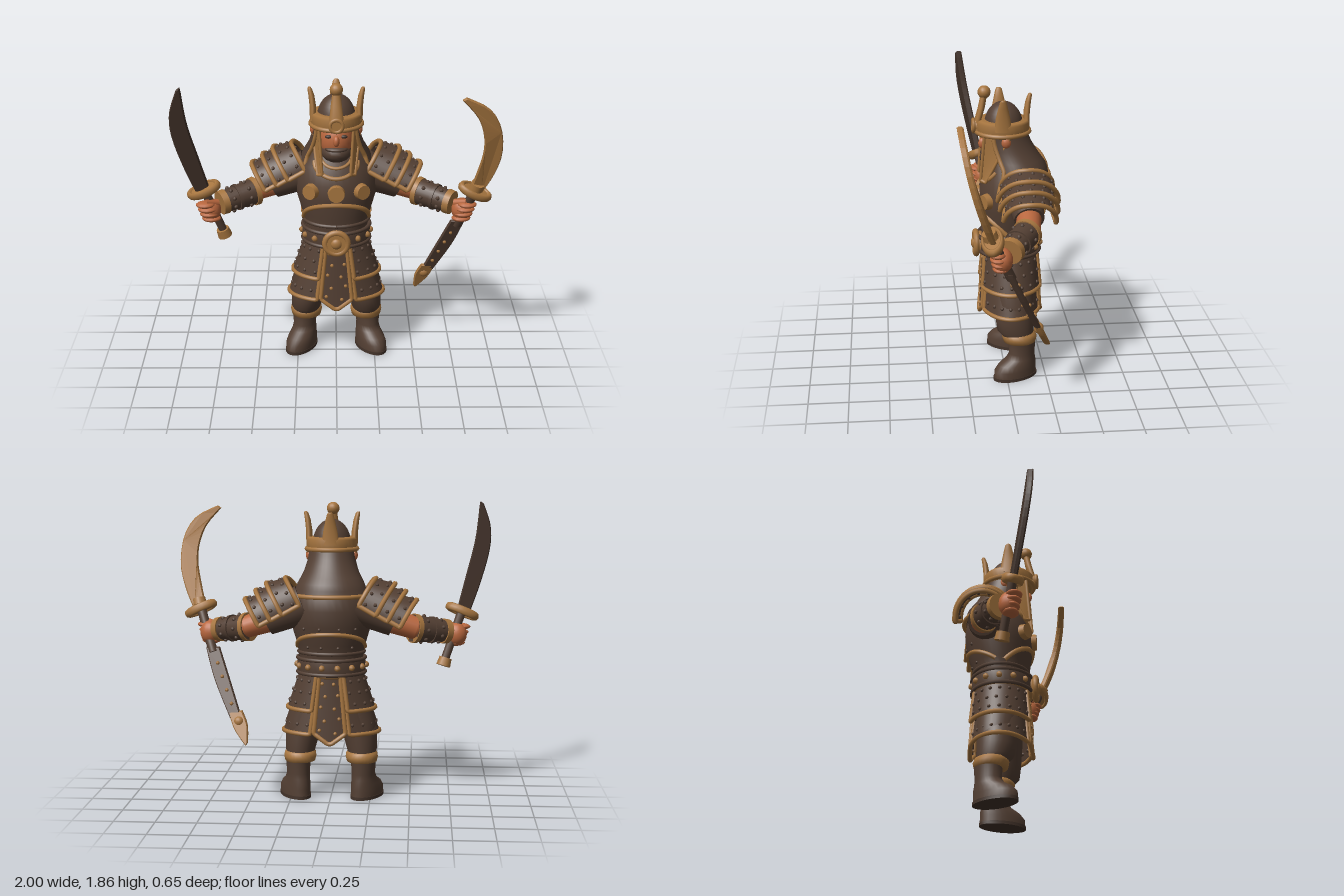
import * as THREE from 'three';
import { mergeGeometries } from 'three/addons/utils/BufferGeometryUtils.js';

const V = (x, y, z) => new THREE.Vector3(x, y, z);
const lerp = THREE.MathUtils.lerp;
const mat = (name, color, side = THREE.FrontSide) => new THREE.MeshStandardMaterial({ name, color, side });

// Triangulated grid from rows of points; optionally wrapped round and capped
function gridGeo(rows, wrap) {
  const n = rows[0].length, pos = [], idx = [];
  rows.forEach(r => r.forEach(p => pos.push(p.x, p.y, p.z)));
  for (let j = 0; j < rows.length - 1; j++) for (let i = 0; i < (wrap ? n : n - 1); i++) {
    const a = j * n + i, b = j * n + (i + 1) % n;
    idx.push(a, b, a + n, b, b + n, a + n);
  }
  if (wrap) [[0, true], [rows.length - 1, false]].forEach(([j, low]) => {
    const base = pos.length / 3, c = V(0, 0, 0);
    rows[j].forEach(p => { pos.push(p.x, p.y, p.z); c.addScaledVector(p, 1 / n); });
    pos.push(c.x, c.y, c.z);
    for (let i = 0; i < n; i++) {
      const a = base + i, b = base + (i + 1) % n;
      low ? idx.push(base + n, b, a) : idx.push(base + n, a, b);
    }
  });
  const g = new THREE.BufferGeometry();
  g.setAttribute('position', new THREE.Float32BufferAttribute(pos, 3));
  g.setIndex(idx);
  g.computeVertexNormals();
  return g;
}

// Sections: [y, rx, rz, cz, cx]; angle 0 is the front
const ringPt = ([y, rx, rz, cz = 0, cx = 0], t) => V(cx + rx * Math.sin(t), y, cz + rz * Math.cos(t));
const loft = (secs, n = 28) => gridGeo(secs.map(s => Array.from({ length: n }, (_, i) => ringPt(s, i / n * Math.PI * 2))), true);
function sectionAt(secs, y) {
  let k = 0;
  while (k < secs.length - 2 && secs[k + 1][0] < y) k++;
  const f = (y - secs[k][0]) / (secs[k + 1][0] - secs[k][0]);
  return secs[k].map((v, i) => lerp(v, secs[k + 1][i], f));
}

const ball = (p, rx, ry = rx, rz = rx, n = 16) => new THREE.SphereGeometry(1, n, Math.ceil(n * 0.7)).scale(rx, ry, rz).translate(p.x, p.y, p.z);
const studs = (pts, r = 0.012) => mergeGeometries(pts.map(p => ball(p, r, r, r, 7)));
const tube = (pts, r, closed = false) => new THREE.TubeGeometry(new THREE.CatmullRomCurve3(pts, closed), pts.length * 3, r, 7, closed);
function limb(a, b, r0, r1, n = 20) {
  const d = b.clone().sub(a), q = new THREE.Quaternion().setFromUnitVectors(V(0, 1, 0), d.clone().normalize());
  const m = a.clone().add(b).multiplyScalar(0.5);
  return new THREE.CylinderGeometry(r1, r0, d.length(), n).applyQuaternion(q).translate(m.x, m.y, m.z);
}
const disc = (x, y, z, r, h) => new THREE.CylinderGeometry(r * 0.9, r, h, 24).rotateX(Math.PI / 2).translate(x, y, z);

function flip(geo) {
  const g = geo.clone().scale(-1, 1, 1);
  const idx = g.index ? Array.from(g.index.array) : Array.from({ length: g.attributes.position.count }, (_, i) => i);
  for (let i = 0; i < idx.length; i += 3) [idx[i], idx[i + 1]] = [idx[i + 1], idx[i]];
  g.setIndex(idx);
  return g;
}

export function createModel() {
  const root = new THREE.Group();
  root.name = 'warrior';
  const leather = mat('dark leather', 0x533f33, THREE.DoubleSide);
  const bronze = mat('bronze', 0xa6753f, THREE.DoubleSide);
  const skin = mat('skin', 0xb9673e);
  const steel = mat('dark blade', 0x43332a);

  const add = (name, geo, m) => {
    const mesh = new THREE.Mesh(geo, m);
    mesh.name = name;
    root.add(mesh);
  };
  const pair = (name, geo, m) => { add(name + 'Left', geo, m); add(name + 'Right', flip(geo), m); };

  // Thin curved plate with a raised border and studs
  function plate(put, name, fn, { face = leather, rim = 0.014, stud = leather, cols = 3, rows = 3, nu = 16, nv = 6 } = {}) {
    const grid = Array.from({ length: nv + 1 }, (_, j) => Array.from({ length: nu + 1 }, (_, i) => fn(i / nu, j / nv)));
    put(name, gridGeo(grid, false), face);
    const edge = [], k = 10;
    for (let s = 0; s < 4; s++) for (let i = 0; i < k; i++) {
      const t = lerp(0.02, 0.98, i / (k - 1));
      edge.push(s === 0 ? fn(t, 0) : s === 1 ? fn(1, t) : s === 2 ? fn(1 - t, 1) : fn(0, 1 - t));
    }
    put(name + 'Border', tube(edge, rim, true), bronze);
    const pts = [];
    for (let j = 0; j < rows; j++) for (let i = 0; i < cols; i++) pts.push(fn((i + 0.5 + (j % 2 ? 0.15 : -0.15)) / cols, (j + 0.6) / (rows + 0.2)));
    if (pts.length) put(name + 'Studs', studs(pts), stud);
  }

  // Torso with trim following its surface
  const torso = [[0.72, 0.19, 0.15, -0.035], [0.9, 0.2, 0.17, -0.04], [0.98, 0.215, 0.185, -0.045], [1.1, 0.25, 0.212, -0.055],
    [1.2, 0.255, 0.215, -0.06], [1.3, 0.235, 0.19, -0.07], [1.37, 0.17, 0.145, -0.06], [1.42, 0.1, 0.1, -0.03]];
  const torsoPt = (t, y, out = 0) => { const s = sectionAt(torso, y); return ringPt([y, s[1] + out, s[2] + out, s[3]], t); };
  const trim = (mid, span, f, r) => tube(Array.from({ length: 17 }, (_, i) => { const k = i / 8 - 1; return torsoPt(mid + k * span, f(k)); }), r);
  add('torso', loft(torso, 36), leather);
  add('chestLowerTrim', trim(0, 1.35, k => 1.08 - 0.13 * k * k, 0.016), bronze);
  add('backLowerTrim', trim(Math.PI, 1.5, k => 1.06 - 0.1 * k * k, 0.014), bronze);
  add('collarTrim', trim(0, 0.75, k => 1.25 + 0.09 * k * k, 0.014), bronze);
  add('neckTrim', trim(0, 0.6, k => 1.31 + 0.06 * k * k, 0.011), bronze);
  add('waistTrim', trim(Math.PI, Math.PI, () => 0.93, 0.012), leather);
  add('backStuds', studs([-0.7, -0.25, 0.25, 0.7].flatMap(t => [1.0, 1.12].map(y => torsoPt(Math.PI + t, y - 0.03))), 0.01), leather);
  add('chestDisc', disc(0, 1.16, 0.158, 0.056, 0.05), bronze);
  pair('sideChestDisc', new THREE.CylinderGeometry(0.046, 0.054, 0.06, 24).rotateX(Math.PI / 2).rotateY(0.55).translate(0.155, 1.16, 0.115), bronze);

  // Belt and buckle
  const belt = [0.8, 0.81, 0.88, 0.89].map((y, i) => [y, i % 3 ? 0.215 : 0.205, i % 3 ? 0.195 : 0.185, -0.035]);
  add('belt', loft(belt, 36), leather);
  [0.8, 0.89].forEach(y => add('beltEdge', tube(Array.from({ length: 24 }, (_, i) => ringPt([y, 0.213, 0.193, -0.035], i / 12 * Math.PI)), 0.012, true), leather));
  add('beltStuds', studs(Array.from({ length: 14 }, (_, i) => ringPt([0.845, 0.217, 0.197, -0.035], (i + 0.5) / 7 * Math.PI)), 0.02), bronze);
  add('buckle', disc(0, 0.835, 0.165, 0.075, 0.05), bronze);
  add('buckleRim', new THREE.TorusGeometry(0.07, 0.02, 8, 28).translate(0, 0.835, 0.175), bronze);
  add('buckleBoss', ball(V(0, 0.835, 0.185), 0.035, 0.035, 0.022), bronze);

  // Armoured skirt: front and back tabards, two tiers at each side
  const skirtPt = (t, y, out) => {
    const f = (0.8 - y) / 0.38;
    return ringPt([y, lerp(0.19, 0.3, f) + out, lerp(0.165, 0.185, f) + out, -0.04], t);
  };
  [['frontTabard', 0], ['backTabard', Math.PI]].forEach(([name, mid]) => plate(add, name, (u, v) => {
    const k = 2 * u - 1;
    return skirtPt(mid + k * 0.33, lerp(0.79, 0.365 + 0.07 * Math.abs(k), v), 0.008);
  }, { stud: bronze, cols: 2, rows: 5 }));
  const tier = (y0, y1, out) => (u, v) => skirtPt(lerp(0.42, Math.PI - 0.42, u), lerp(y0, y1, v), out + 0.01 * v);
  plate(pair, 'lowerTasset', tier(0.64, 0.425, -0.005), { cols: 8, rows: 2, nu: 24 });
  plate(pair, 'upperTasset', tier(0.8, 0.575, 0.012), { cols: 7, rows: 3, nu: 24 });

  // Legs and boots
  pair('trouserLeg', loft([[0.26, 0.08, 0.09, -0.08, 0.195], [0.31, 0.095, 0.115, -0.06, 0.195], [0.38, 0.105, 0.12, -0.055, 0.185],
    [0.5, 0.12, 0.125, -0.05, 0.165], [0.65, 0.115, 0.13, -0.045, 0.12], [0.8, 0.09, 0.13, -0.04, 0.1]]), leather);
  pair('bootCuff', loft([[0.225, 0.07, 0.08, -0.085, 0.195], [0.235, 0.095, 0.103, -0.085, 0.195], [0.265, 0.102, 0.11, -0.085, 0.195],
    [0.29, 0.098, 0.105, -0.08, 0.195], [0.305, 0.075, 0.08, -0.08, 0.195]]), bronze);
  const placeFoot = g => g.rotateY(0.45).translate(0.228, 0, -0.055);
  pair('boot', placeFoot(loft([[0.015, 0.085, 0.148, 0], [0.06, 0.086, 0.146, 0], [0.095, 0.08, 0.13, -0.015], [0.125, 0.074, 0.098, -0.04],
    [0.16, 0.07, 0.085, -0.05], [0.24, 0.076, 0.09, -0.05]])), leather);
  pair('bootSole', placeFoot(loft([[0, 0.088, 0.152], [0.02, 0.088, 0.152]])), steel);

  // Arms: short sleeve, bare elbow, bracer
  pair('sleeve', limb(V(0.17, 1.23, -0.11), V(0.4, 1.125, -0.12), 0.125, 0.092), leather);
  pair('upperArm', limb(V(0.36, 1.14, -0.12), V(0.53, 1.085, -0.105), 0.078, 0.07), skin);
  pair('elbow', ball(V(0.52, 1.09, -0.105), 0.07), skin);
  const elbow = V(0.51, 1.085, -0.1), wrist = V(0.725, 1.05, 0.025);
  const along = f => elbow.clone().lerp(wrist, f);
  pair('bracer', limb(elbow, wrist, 0.085, 0.068), leather);
  pair('bracerElbowBand', limb(along(0.0), along(0.12), 0.092, 0.09), bronze);
  pair('bracerMidBand', limb(along(0.5), along(0.58), 0.085, 0.084), leather);
  pair('bracerWristBand', limb(along(0.86), along(1.02), 0.079, 0.076), bronze);
  const fore = wrist.clone().sub(elbow).normalize(), side = V(0, 1, 0).cross(fore).normalize(), over = fore.clone().cross(side);
  pair('bracerStuds', studs([0.28, 0.72].flatMap((f, j) => Array.from({ length: 8 }, (_, i) => {
    const a = (i + j / 2) / 4 * Math.PI, r = lerp(0.086, 0.069, f);
    return along(f).addScaledVector(side, r * Math.cos(a)).addScaledVector(over, r * Math.sin(a));
  })), 0.013), leather);

  // Fists closed round the grips
  const grip = V(0.31, 0.92, 0.22).normalize(), palm = V(0.785, 1.025, 0.075);
  pair('palm', ball(palm, 0.066, 0.075, 0.06), skin);
  for (let i = 0; i < 4; i++) {
    const c = palm.clone().addScaledVector(grip, (i - 1.5) * 0.036).add(V(0.012, -0.004, 0.022));
    pair('finger', ball(c, 0.06, 0.021, 0.05, 12), skin);
  }
  pair('thumb', limb(V(0.74, 1.07, 0.075), V(0.81, 1.09, 0.12), 0.024, 0.02, 10), skin);

  // Shoulder guards: three overlapping tiers arched over the upper arm
  const axis = V(0.887, -0.461, 0.02), up = V(0.461, 0.887, 0);
  [[0.0, 0.12, 0.17, 0.195], [0.09, 0.2, 0.165, 0.185], [0.17, 0.285, 0.15, 0.168]].forEach(([s0, s1, r0, r1], i) =>
    plate(pair, 'shoulderTier' + (i + 1), (u, v) => {
      const a = lerp(-1.65, 1.5, u), r = lerp(r0, r1, v);
      return V(0.205, 1.245, -0.125).addScaledVector(axis, lerp(s0, s1, v) - 0.02 * Math.abs(Math.sin(a)))
        .addScaledVector(up, r * Math.cos(a)).add(V(0, 0, r * 0.95 * Math.sin(a)));
    }, { rim: 0.015, cols: 7, rows: 2, nu: 24 }));

  // Head
  add('face', ball(V(0, 1.48, 0.01), 0.108, 0.14, 0.122, 24), skin);
  add('nose', ball(V(0, 1.49, 0.13), 0.02, 0.035, 0.026), skin);
  add('beard', ball(V(0, 1.4, 0.03), 0.098, 0.07, 0.118, 20), leather);
  add('moustache', ball(V(0, 1.432, 0.1), 0.07, 0.02, 0.045), leather);
  pair('eye', ball(V(0.045, 1.515, 0.113), 0.024, 0.012, 0.012, 10), steel);
  pair('ear', ball(V(0.143, 1.53, -0.005), 0.02, 0.035, 0.03, 12), skin);

  // Neck guard hanging from the helmet, open at the front
  const guard = [[1.29, 0.235, 0.195, -0.088], [1.36, 0.21, 0.18, -0.085], [1.43, 0.172, 0.165, -0.05], [1.5, 0.15, 0.152, -0.02], [1.58, 0.138, 0.14, 0]];
  plate(add, 'neckGuard', (u, v) => ringPt(sectionAt(guard, lerp(1.29, 1.58, v)), lerp(1.0, 2 * Math.PI - 1.0, u)), { cols: 0, rows: 0, nu: 30, nv: 8 });

  // Helmet dome, band, cheek guards
  add('helmetDome', ball(V(0, 1.6, 0), 0.12, 0.155, 0.12, 28), leather);
  add('helmetBand', loft([[1.555, 0.14, 0.145, 0.005], [1.565, 0.158, 0.165, 0.005], [1.63, 0.16, 0.166, 0.005], [1.645, 0.15, 0.155, 0.005], [1.645, 0.118, 0.12, 0]], 36), bronze);
  add('bandLowerRim', tube(Array.from({ length: 24 }, (_, i) => ringPt([1.57, 0.158, 0.164, 0.005], i / 12 * Math.PI)), 0.014, true), bronze);
  add('browDisc', disc(0, 1.605, 0.175, 0.045, 0.03), bronze);
  add('browRing', new THREE.TorusGeometry(0.038, 0.012, 8, 20).translate(0, 1.605, 0.185), bronze);
  plate(pair, 'cheekGuard', (u, v) => V(lerp(0.15, 0.115, v), lerp(1.57, 1.27, v), lerp(-0.03, 0.12, v))
    .lerp(V(lerp(0.105, 0.088, v), lerp(1.57, 1.28, v), lerp(0.125, 0.148, v)), u), { face: bronze, rim: 0.01, cols: 0, rows: 0, nu: 4 });

  // Crest with ball, and three upright horns
  add('crest', loft([[1.57, 0.045, 0.018, 0.168], [1.65, 0.042, 0.022, 0.155], [1.72, 0.034, 0.022, 0.135], [1.8, 0.024, 0.02, 0.12]], 12), bronze);
  add('crestBall', ball(V(0, 1.815, 0.118), 0.04), bronze);
  const horn = () => loft([[1.6, 0.055, 0.02, 0.142], [1.68, 0.045, 0.02, 0.143], [1.75, 0.03, 0.018, 0.152], [1.79, 0.02, 0.014, 0.162], [1.8, 0.012, 0.008, 0.164]], 12);
  pair('sideHorn', horn().rotateY(Math.PI / 2).translate(0, 0, 0.015), bronze);
  add('backHorn', horn().rotateY(Math.PI), bronze);

  // Weapons: outlines extruded, then leaned through the hands by a depth rule
  function blade(name, pts, n, m, depth) {
    const spline = list => new THREE.SplineCurve(list.map(p => new THREE.Vector2(...p))).getPoints(14);
    const shape = new THREE.Shape([...spline(pts.slice(0, n)), ...spline(pts.slice(n))]);
    const g = new THREE.ExtrudeGeometry(shape, { depth: 0.018, bevelEnabled: true, bevelThickness: 0.01, bevelSize: 0.006, bevelSegments: 1 });
    const p = g.attributes.position;
    for (let i = 0; i < p.count; i++) p.setZ(i, p.getZ(i) - 0.009 + depth(p.getX(i), p.getY(i)));
    g.computeVertexNormals();
    add(name, g, m);
  }
  const rightZ = (x, y) => 0.08 + 0.3 * (-0.8 - x) + 0.12 * (y - 1.03);
  const leftZ = (x, y) => { const d = y - 1.03; return 0.08 + 0.45 * d - (d > 0 ? 0.2 * d * d : 0); };
  const at = (x, y, f) => V(x, y, f(x, y));

  blade('sabreBlade', [[-0.79, 1.17], [-0.85, 1.4], [-0.905, 1.62], [-0.932, 1.85],
    [-0.945, 1.84], [-0.99, 1.7], [-0.985, 1.55], [-0.93, 1.35], [-0.865, 1.17]], 4, steel, rightZ);
  add('sabreGrip', limb(at(-0.71, 0.86, rightZ), at(-0.815, 1.16, rightZ), 0.026, 0.028, 12), leather);
  add('sabrePommel', limb(at(-0.703, 0.83, rightZ), at(-0.718, 0.88, rightZ), 0.046, 0.04, 14), bronze);

  blade('hookedBlade', [[0.895, 1.17], [0.955, 1.3], [0.992, 1.45], [0.975, 1.62], [0.9, 1.745], [0.765, 1.815],
    [0.75, 1.805], [0.84, 1.7], [0.885, 1.58], [0.892, 1.46], [0.865, 1.32], [0.825, 1.17]], 6, bronze, leftZ);
  add('bladeCollar', limb(at(0.862, 1.19, leftZ), at(0.872, 1.23, leftZ), 0.045, 0.042, 14), bronze);
  add('hookedGrip', limb(at(0.76, 0.9, leftZ), at(0.85, 1.16, leftZ), 0.03, 0.03, 12), leather);
  blade('lowerBlade', [[0.8, 0.93], [0.735, 0.74], [0.628, 0.52], [0.56, 0.5], [0.64, 0.71], [0.725, 0.93]], 3, leather, leftZ);
  blade('lowerBladeTip', [[0.635, 0.545], [0.595, 0.45], [0.525, 0.36], [0.518, 0.37], [0.525, 0.47], [0.56, 0.55]], 3, bronze, leftZ);
  add('tipBoss', ball(at(0.575, 0.49, leftZ), 0.035, 0.035, 0.03), bronze);
  add('lowerBladeStuds', studs([0.6, 0.68, 0.76, 0.84].flatMap(y => [-0.02, 0.02].map(o => at(0.625 + (y - 0.6) * 0.42, y, leftZ).add(V(0, 0, o)))), 0.012), bronze);

  // Oval hand guards set square to each grip
  const guardGeo = () => mergeGeometries([new THREE.CylinderGeometry(1, 1, 0.03, 24), new THREE.TorusGeometry(0.92, 0.2, 8, 24).rotateX(Math.PI / 2).scale(1, 0.13, 1)])
    .scale(0.1, 1, 0.06);
  [['sabreGuard', -0.82, rightZ, 0.39], ['hookedGuard', 0.855, leftZ, -0.42]].forEach(([name, x, f, tilt]) => {
    const c = at(x, 1.168, f);
    add(name, guardGeo().rotateX(0.25).rotateZ(tilt).translate(c.x, c.y, c.z), bronze);
  });

  return root;
}
